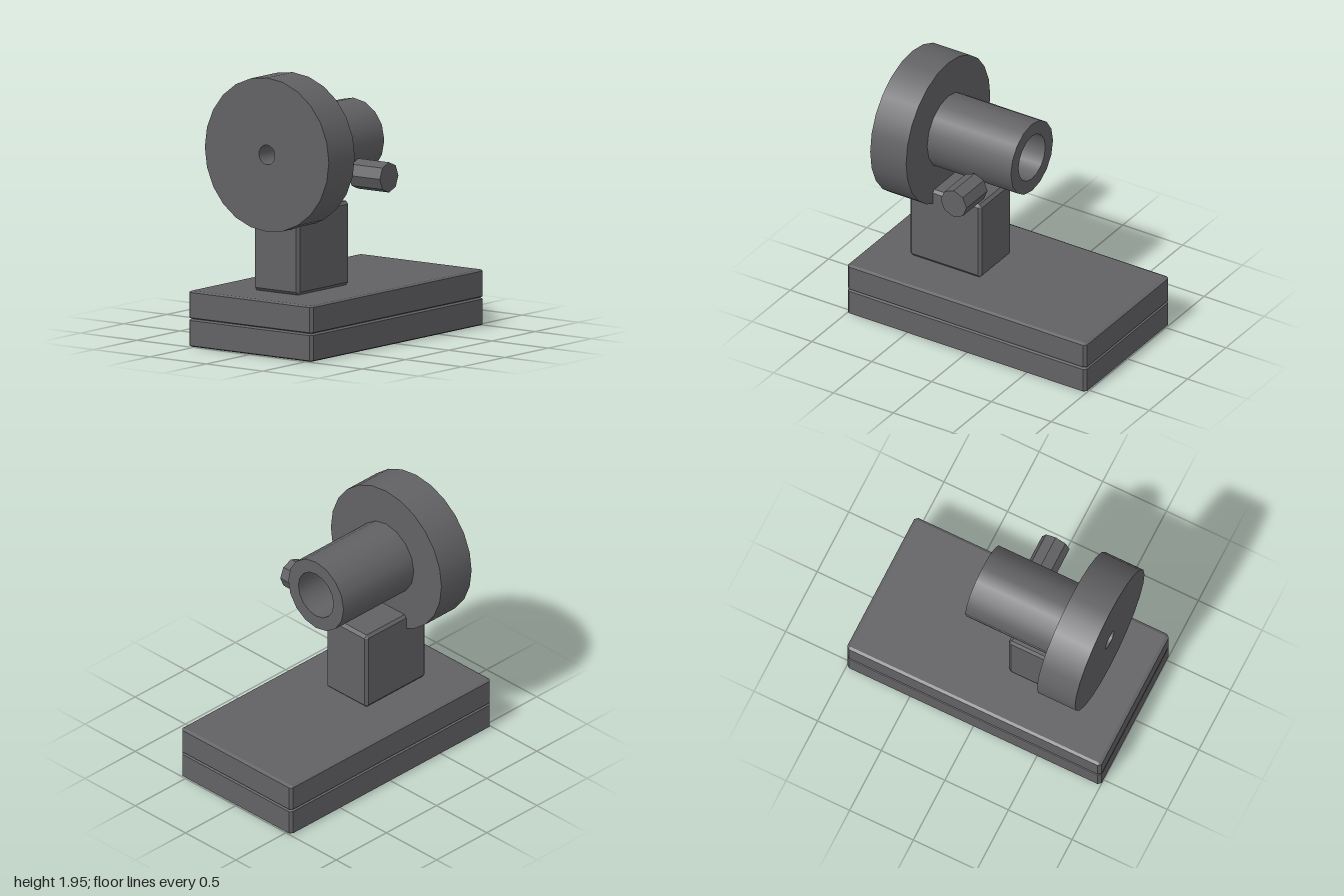
import * as THREE from 'three';
import { mergeGeometries } from 'three/addons/utils/BufferGeometryUtils.js';
import { ConvexGeometry } from 'three/addons/geometries/ConvexGeometry.js';

// Box with flat chamfers: w, h, d are full sizes, c holds the cut along each axis.
function chamferBox(w, h, d, c) {
  const half = [w / 2, h / 2, d / 2];
  const points = [];
  for (const sx of [-1, 1]) for (const sy of [-1, 1]) for (const sz of [-1, 1]) {
    const s = [sx, sy, sz];
    // each corner becomes three points, one on every adjoining face
    for (let face = 0; face < 3; face++) {
      points.push(new THREE.Vector3(...half.map((v, i) => s[i] * (i === face ? v : v - c[i]))));
    }
  }
  return new ConvexGeometry(points);
}

// Hollow cylinder along x with smooth walls and sharp rims.
function ring(x0, x1, outer, inner, sides) {
  const profile = [[outer, x0], [outer, x1], [inner, x1], [inner, x0]].map(p => new THREE.Vector2(...p));
  const walls = profile.map((p, i) => new THREE.LatheGeometry([p, profile[(i + 1) % 4]], sides));
  return mergeGeometries(walls).rotateZ(-Math.PI / 2);
}

export function createModel() {
  const group = new THREE.Group();
  const metal = new THREE.MeshStandardMaterial({ color: 0x626265 });
  metal.name = 'dark grey metal';

  const add = (name, geometry, x, y, z) => {
    const mesh = new THREE.Mesh(geometry, metal);
    mesh.name = name;
    mesh.position.set(x, y, z);
    group.add(mesh);
  };

  // Two stacked base slabs
  const slabCut = [0.022, 0.01, 0.02];
  add('lowerBase', chamferBox(2, 0.2, 1.1, slabCut), 0, 0.1, 0);
  add('upperBase', chamferBox(2, 0.2, 1.1, slabCut), 0, 0.3, 0);

  // Pedestal carrying the wheel
  add('pedestal', chamferBox(0.6, 0.6, 0.4, [0.022, 0.022, 0.018]), -0.4, 0.7, 0);

  // Wheel with a small through hole, and the wide-bored sleeve beside it
  add('wheel', ring(-0.8, -0.5, 0.55, 0.07, 24), 0, 1.4, 0);
  add('sleeve', ring(-0.5, 0.2, 0.275, 0.175, 16), 0, 1.4, 0);

  // Octagonal knob pointing forward
  const knob = new THREE.CylinderGeometry(0.108, 0.108, 0.275, 8).rotateX(Math.PI / 2).toNonIndexed();
  knob.computeVertexNormals();
  add('knob', knob, -0.103, 1.202, 0.4125);

  return group;
}
